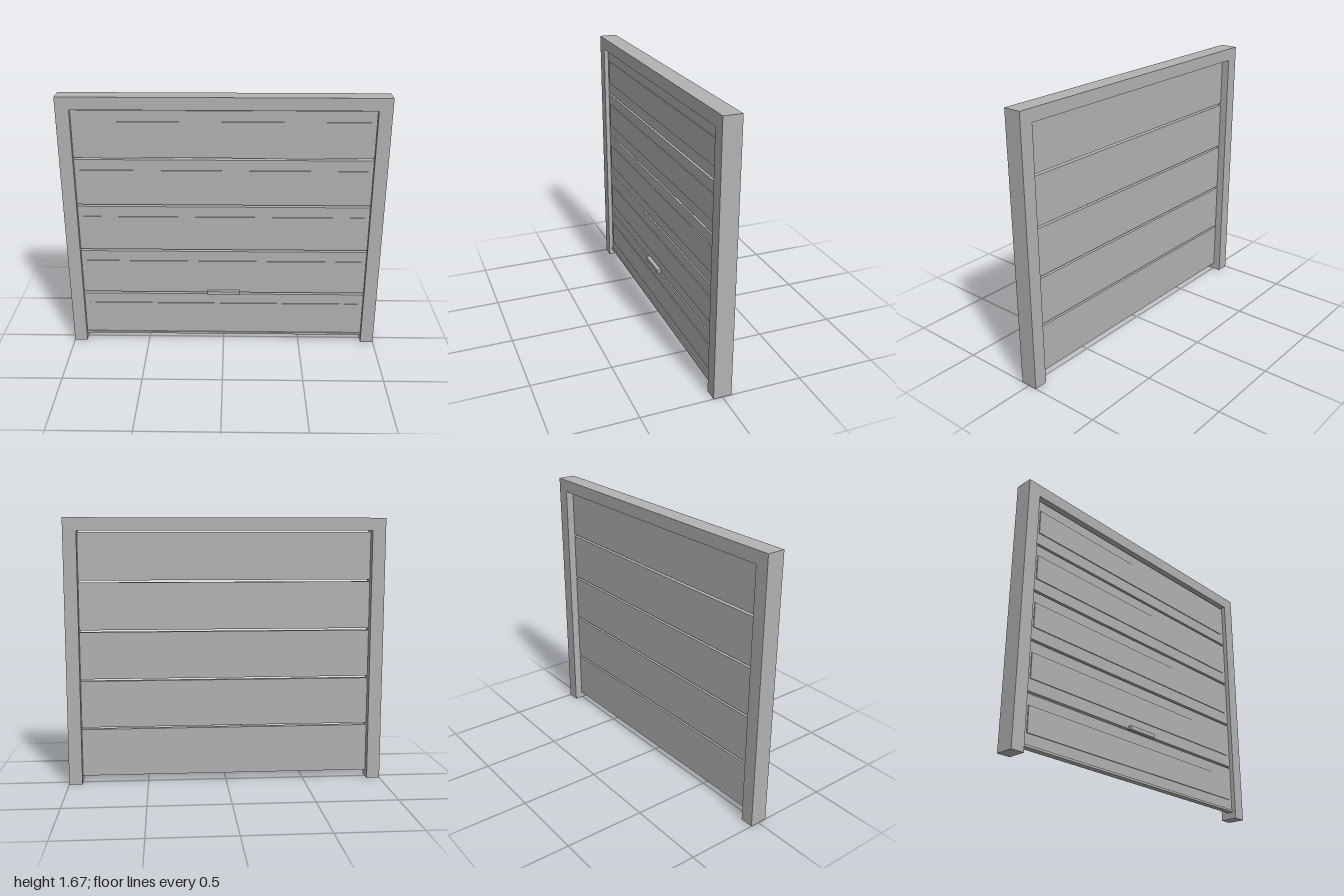
import * as THREE from 'three';

export function createModel() {
  const group = new THREE.Group();
  group.name = 'sectionalDoor';
  const grey = new THREE.MeshStandardMaterial({ color: 0xb2b2b2 });
  grey.name = 'grey';

  // Box given by its lower and upper bounds
  function addBox(name, [x0, y0, z0], [x1, y1, z1]) {
    const mesh = new THREE.Mesh(new THREE.BoxGeometry(x1 - x0, y1 - y0, z1 - z0), grey);
    mesh.position.set((x0 + x1) / 2, (y0 + y1) / 2, (z0 + z1) / 2);
    mesh.name = name;
    group.add(mesh);
  }

  // Frame: two posts and the header in one piece
  const height = 1.675, inner = 0.917, headerBottom = 1.597, halfDepth = 0.056;
  const outline = new THREE.Shape([
    [-1, 0], [-inner, 0], [-inner, headerBottom], [inner, headerBottom],
    [inner, 0], [1, 0], [1, height], [-1, height],
  ].map(([x, y]) => new THREE.Vector2(x, y)));
  const frameGeometry = new THREE.ExtrudeGeometry(outline, { depth: 2 * halfDepth, bevelEnabled: false });
  frameGeometry.translate(0, 0, -halfDepth);
  const frame = new THREE.Mesh(frameGeometry, grey);
  frame.name = 'frame';
  group.add(frame);

  // Five door sections with open gaps, each with a raised field on the front
  const pitch = 0.3105, sectionHeight = 0.297, bottom = 0.048;
  const back = -0.006, front = 0.028;
  for (let i = 0; i < 5; i++) {
    const y = bottom + i * pitch;
    addBox('doorSection', [-inner, y, back], [inner, y + sectionHeight, front]);
    addBox('raisedField', [-0.885, y + 0.074, front - 0.002], [0.885, y + 0.229, front + 0.006]);
  }

  // Bottom seal and pull handle
  addBox('bottomSeal', [-inner, 0.043, back], [inner, 0.057, front + 0.008]);
  addBox('handle', [-0.105, 0.35, front], [0.105, 0.374, 0.052]);

  return group;
}
